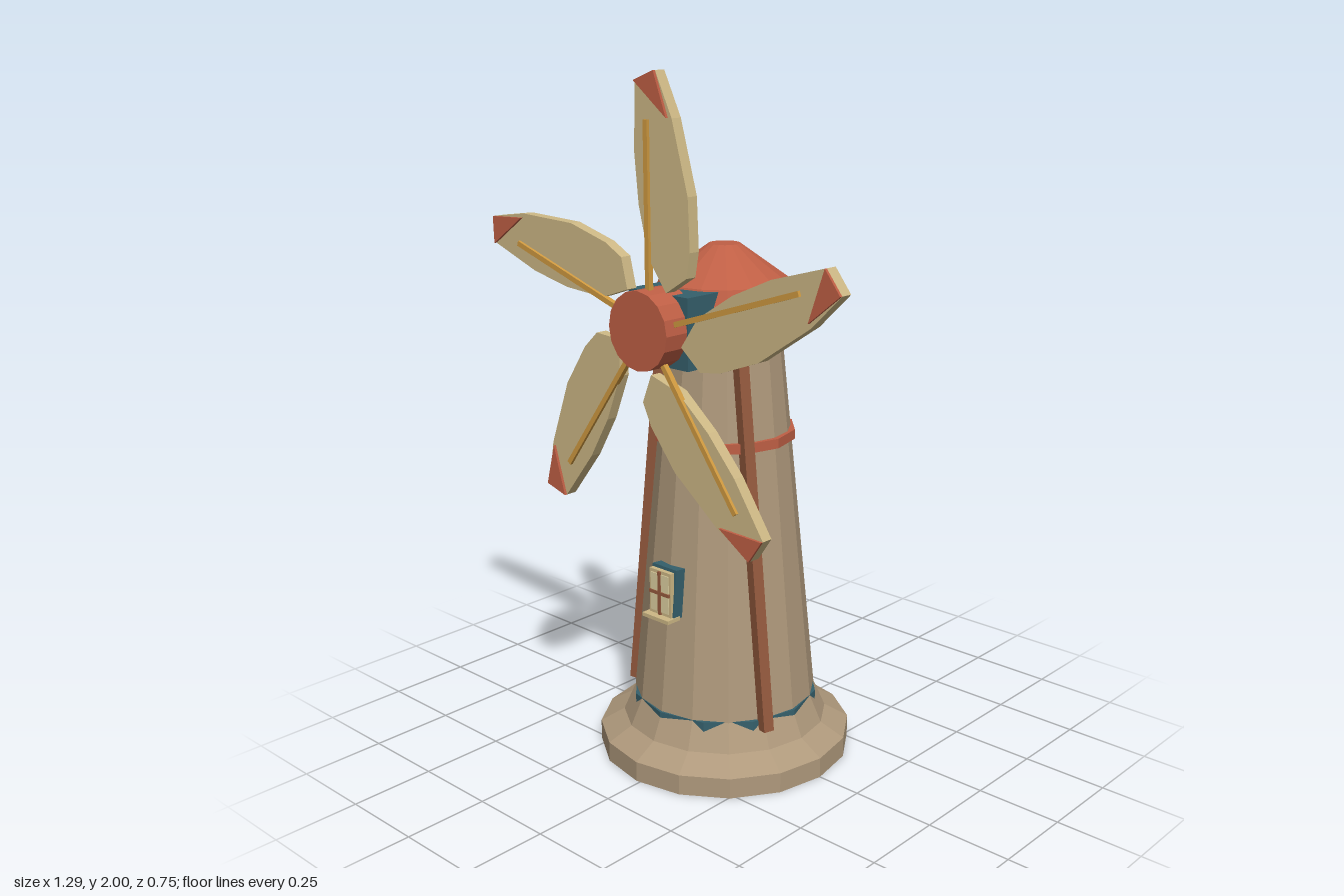
import * as THREE from 'three';

const mat = (name, color) => {
  const m = new THREE.MeshStandardMaterial({ color, flatShading: true });
  m.name = name;
  return m;
};

export function createModel() {
  const stone = mat('stone', 0xaf997c);
  const red = mat('terracotta', 0xbf5f45);
  const teal = mat('teal', 0x35606c);
  const sailCloth = mat('sail cloth', 0xcdb885);
  const ochre = mat('ochre wood', 0xd09a40);
  const timber = mat('brown timber', 0x955a3e);
  const pane = mat('pale pane', 0xddd0a0);

  const model = new THREE.Group();
  model.name = 'windmill';
  const mill = new THREE.Group();
  mill.name = 'mill';
  mill.position.x = -0.012;
  model.add(mill);

  const add = (parent, name, geometry, material, x = 0, y = 0, z = 0) => {
    const mesh = new THREE.Mesh(geometry, material);
    mesh.name = name;
    mesh.position.set(x, y, z);
    parent.add(mesh);
    return mesh;
  };
  const box = (parent, name, material, w, h, d, x, y, z) =>
    add(parent, name, new THREE.BoxGeometry(w, h, d), material, x, y, z);
  const lathe = (name, profile, material) =>
    add(mill, name, new THREE.LatheGeometry(profile.map(([r, y]) => new THREE.Vector2(r, y)), 16), material);
  const plate = (points, depth) => new THREE.ExtrudeGeometry(
    new THREE.Shape(points.map(([x, y]) => new THREE.Vector2(x, y))),
    { depth, bevelEnabled: false });

  // Tapered tower with a stepped foot
  lathe('tower', [[0, 0], [0.376, 0], [0.376, 0.06], [0.305, 0.1], [0.27, 0.18], [0.162, 1.285], [0, 1.285]], stone);

  // Teal band peeping through the foot, and the red hoop higher up
  add(mill, 'footBand', new THREE.CylinderGeometry(0.277, 0.277, 0.08, 12), teal, 0, 0.142, 0);
  add(mill, 'hoop', new THREE.CylinderGeometry(0.206, 0.206, 0.028, 12), red, 0, 0.977, 0);

  // Domed cap
  lathe('cap', [[0, 1.28], [0.19, 1.28], [0.222, 1.325], [0.185, 1.42], [0.045, 1.52], [0, 1.52]], red);

  // Leaning corner posts
  for (const side of [1, -1]) {
    const a = new THREE.Vector3(0.265 * side, 0.155, 0.112);
    const b = new THREE.Vector3(0.148 * side, 1.245, 0.098);
    const up = b.clone().sub(a);
    const length = up.length();
    up.normalize();
    const out = new THREE.Vector3(side * Math.cos(0.3), 0, Math.sin(0.3));
    const across = new THREE.Vector3().crossVectors(out, up).normalize();
    out.crossVectors(up, across);
    const post = box(mill, side > 0 ? 'leftPost' : 'rightPost', timber, 0.034, length, 0.032, 0, 0, 0);
    post.quaternion.setFromRotationMatrix(new THREE.Matrix4().makeBasis(out, up, across));
    post.position.copy(a).add(b).multiplyScalar(0.5);
  }

  // Window: leaning casing, panes, crossbars and sill
  const windowGroup = new THREE.Group();
  windowGroup.name = 'window';
  windowGroup.position.set(0, 0.552, 0);
  mill.add(windowGroup);
  box(windowGroup, 'casing', teal, 0.095, 0.145, 0.04, 0, 0, 0.238).rotation.x = -0.09;
  box(windowGroup, 'sash', sailCloth, 0.084, 0.134, 0.014, 0, 0, 0.263);
  for (const x of [-1, 1]) for (const y of [-1, 1])
    box(windowGroup, 'pane', pane, 0.029, 0.052, 0.004, x * 0.02, y * 0.031, 0.271);
  box(windowGroup, 'mullion', timber, 0.01, 0.13, 0.006, 0, 0, 0.273);
  box(windowGroup, 'transom', timber, 0.078, 0.01, 0.006, 0, 0, 0.273);
  box(windowGroup, 'sill', sailCloth, 0.102, 0.011, 0.05, 0, -0.072, 0.267);

  // Axle housing and hub
  box(mill, 'axleHousing', teal, 0.224, 0.2, 0.165, 0, 1.315, 0.1825);
  add(mill, 'hub', new THREE.CylinderGeometry(0.11, 0.11, 0.12, 16), red, 0, 1.322, 0.283).rotation.x = Math.PI / 2;

  // Five sails, each with a spar and a red tip on its face
  const sailGeo = plate([
    [-0.037, 0.651], [-0.044, 0.47], [-0.03, 0.33], [0.005, 0.19], [0.068, 0.106],
    [0.143, 0.153], [0.156, 0.222], [0.15, 0.365], [0.095, 0.56], [0.037, 0.678]], 0.034);
  const tipGeo = plate([[-0.037, 0.651], [0.082, 0.56], [0.037, 0.678]], 0.008);
  const rotor = new THREE.Group();
  rotor.name = 'rotor';
  rotor.position.set(0, 1.322, 0.267);
  mill.add(rotor);
  for (let i = 0; i < 5; i++) {
    const sail = new THREE.Group();
    sail.name = 'sail' + (i + 1);
    sail.rotation.z = -i * Math.PI * 2 / 5;
    rotor.add(sail);
    add(sail, 'blade', sailGeo, sailCloth);
    add(sail, 'bladeTip', tipGeo, red, 0, 0, 0.034);
    box(sail, 'spar', ochre, 0.015, 0.5, 0.016, 0.006, 0.303, 0.035);
  }
  return model;
}
